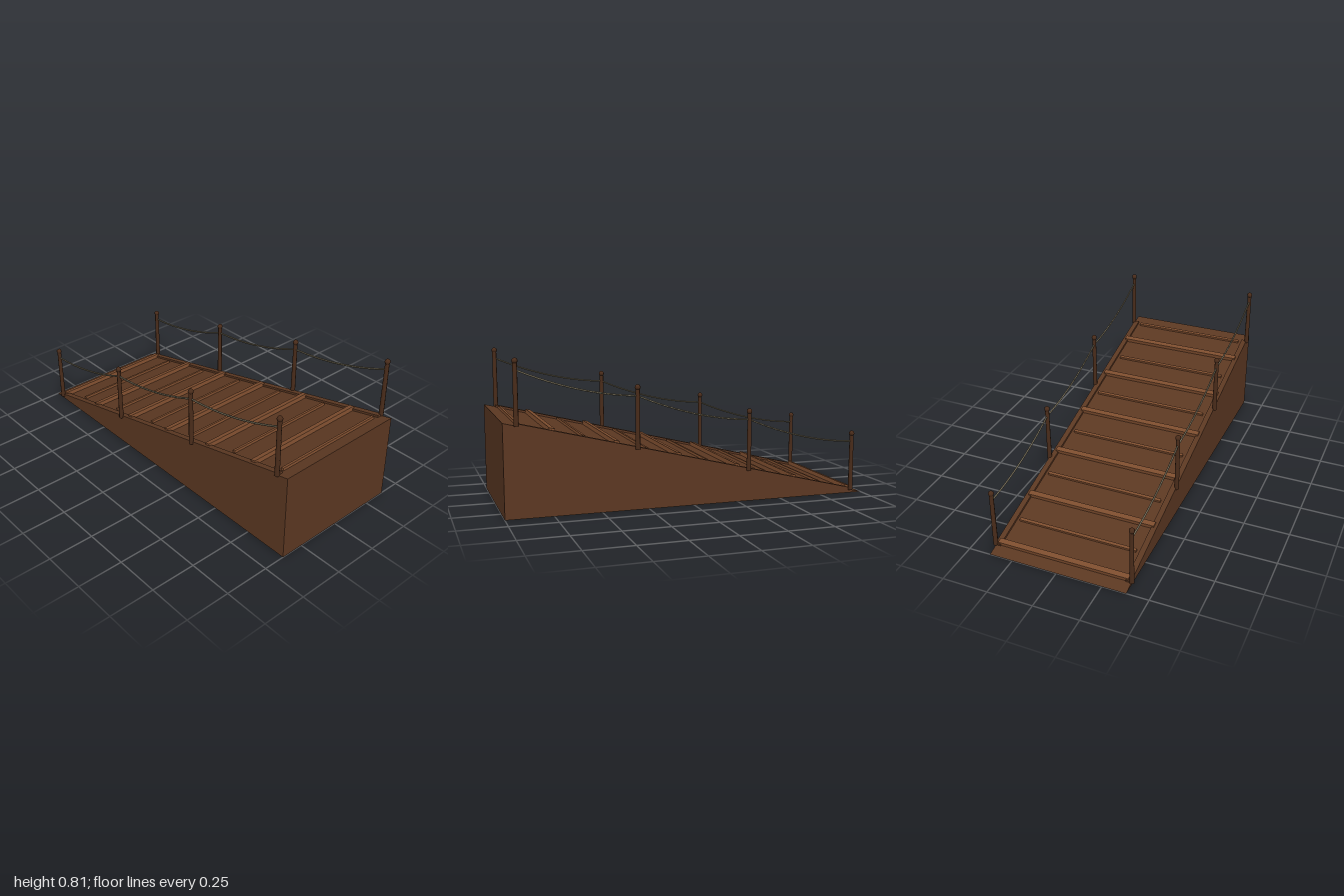
import * as THREE from 'three';

const SLOPE = 0.2437, ANGLE = Math.atan(SLOPE);
const deckY = (z) => SLOPE * (z + 1);
const paint = (color, extra = {}) => new THREE.MeshStandardMaterial({ color, ...extra });

export function createModel() {
  const root = new THREE.Group();
  const wood = paint(0x5c3822);
  const cleatWood = paint(0x7d4d2e);
  const postWood = paint(0x4a2c1a);
  const ropeFibre = paint(0x6e6652);

  const add = (name, geometry, material, parent = root) => {
    const mesh = new THREE.Mesh(geometry, material);
    mesh.name = name;
    parent.add(mesh);
    return mesh;
  };

  // A bar lying on the sloping deck, its underside slightly sunk
  const bar = (name, w, h, l, x, z, material) => {
    const mesh = add(name, new THREE.BoxGeometry(w, h, l), material);
    mesh.position.set(x, deckY(z) + h / 2 - 0.004, z);
    mesh.rotation.x = -ANGLE;
    return mesh;
  };

  // Solid wedge body
  const profile = new THREE.Shape([[-1, 0], [1, 0], [1, deckY(1)]].map((p) => new THREE.Vector2(...p)));
  const wedge = new THREE.ExtrudeGeometry(profile, { depth: 0.76, bevelEnabled: false });
  wedge.translate(0, 0, -0.38);
  wedge.rotateY(-Math.PI / 2);
  add('rampBody', wedge, wood);

  // Alternating wide and narrow cleats across the deck
  for (let i = 0; i < 6; i++) {
    const z = -0.92 + i * 0.335;
    bar('wideCleat', 0.73, 0.026, 0.03, 0, z, cleatWood);
    bar('narrowCleat', 0.665, 0.017, 0.017, 0, z + 0.165, cleatWood);
  }

  // Edge rails, posts and sagging ropes on both sides
  const postZ = [0.933, 0.311, -0.311, -0.933];
  for (const side of [-1, 1]) {
    bar('edgeRail', 0.03, 0.016, 1.93, side * 0.366, 0.0, wood);

    const railing = new THREE.Group();
    railing.name = side > 0 ? 'leftRailing' : 'rightRailing';
    railing.position.x = side * 0.382;
    root.add(railing);

    postZ.forEach((z, i) => {
      const y = deckY(z);
      add('post', new THREE.CylinderGeometry(0.0115, 0.013, 0.312, 8), postWood, railing).position.set(0, y + 0.156, z);
      add('postKnob', new THREE.SphereGeometry(0.0155, 8, 6), postWood, railing).position.set(0, y + 0.322, z);

      if (i === postZ.length - 1) return;
      const next = postZ[i + 1];
      const points = [];
      for (let k = 0; k <= 8; k++) {
        const t = k / 8, pz = z + (next - z) * t;
        points.push(new THREE.Vector3(0, deckY(pz) + 0.278 - 0.03 * 4 * t * (1 - t), pz));
      }
      add('rope', new THREE.TubeGeometry(new THREE.CatmullRomCurve3(points), 16, 0.005, 6), ropeFibre, railing);
    });
  }
  return root;
}
